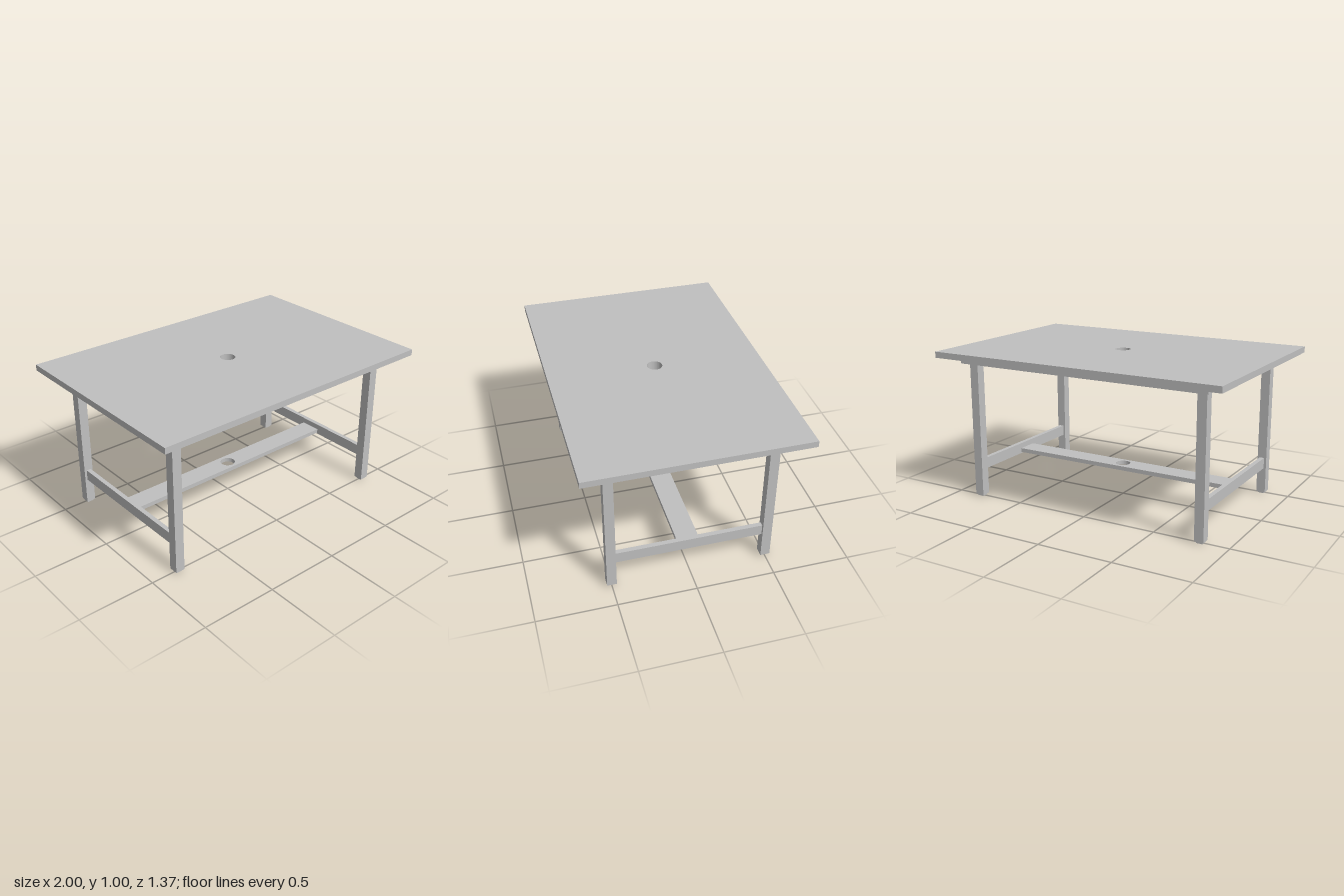
import * as THREE from 'three';

export function createModel() {
  const model = new THREE.Group();
  model.name = 'table';
  const grey = new THREE.MeshStandardMaterial({ name: 'light grey', color: 0xc0c0c0 });

  const add = (name, geometry, x, y, z) => {
    const mesh = new THREE.Mesh(geometry, grey);
    mesh.name = name;
    mesh.position.set(x, y, z);
    model.add(mesh);
  };

  // Box given by its size, bottom height and centre
  const box = (name, w, h, d, x, bottom, z) =>
    add(name, new THREE.BoxGeometry(w, h, d), x, bottom + h / 2, z);

  // Horizontal board with a round hole in the middle for a parasol pole
  const holedBoard = (name, w, h, d, bottom) => {
    const shape = new THREE.Shape([
      new THREE.Vector2(-w / 2, -d / 2), new THREE.Vector2(w / 2, -d / 2),
      new THREE.Vector2(w / 2, d / 2), new THREE.Vector2(-w / 2, d / 2),
    ]);
    shape.holes.push(new THREE.Path().absarc(0, 0, 0.049, 0, Math.PI * 2, true));
    const geometry = new THREE.ExtrudeGeometry(shape, { depth: h, bevelEnabled: false, curveSegments: 32 });
    geometry.rotateX(-Math.PI / 2);
    add(name, geometry, 0, bottom, 0);
  };

  // Top, the plate beneath it and the long stretcher share the pole hole
  holedBoard('tableTop', 2, 0.04, 1.367, 0.96);
  holedBoard('underPlate', 1.75, 0.042, 1.164, 0.918);
  holedBoard('longStretcher', 1.6, 0.028, 0.14, 0.19);

  for (const sx of [-1, 1]) {
    // Upright board joining the front and back legs
    box('sideStretcher', 0.03, 0.073, 0.938, sx * 0.815, 0.182, 0);
    for (const sz of [-1, 1]) {
      box('leg', 0.061, 0.906, 0.061, sx * 0.815, 0.012, sz * 0.5);
      box('foot', 0.04, 0.012, 0.04, sx * 0.815, 0, sz * 0.5);
    }
  }
  return model;
}
